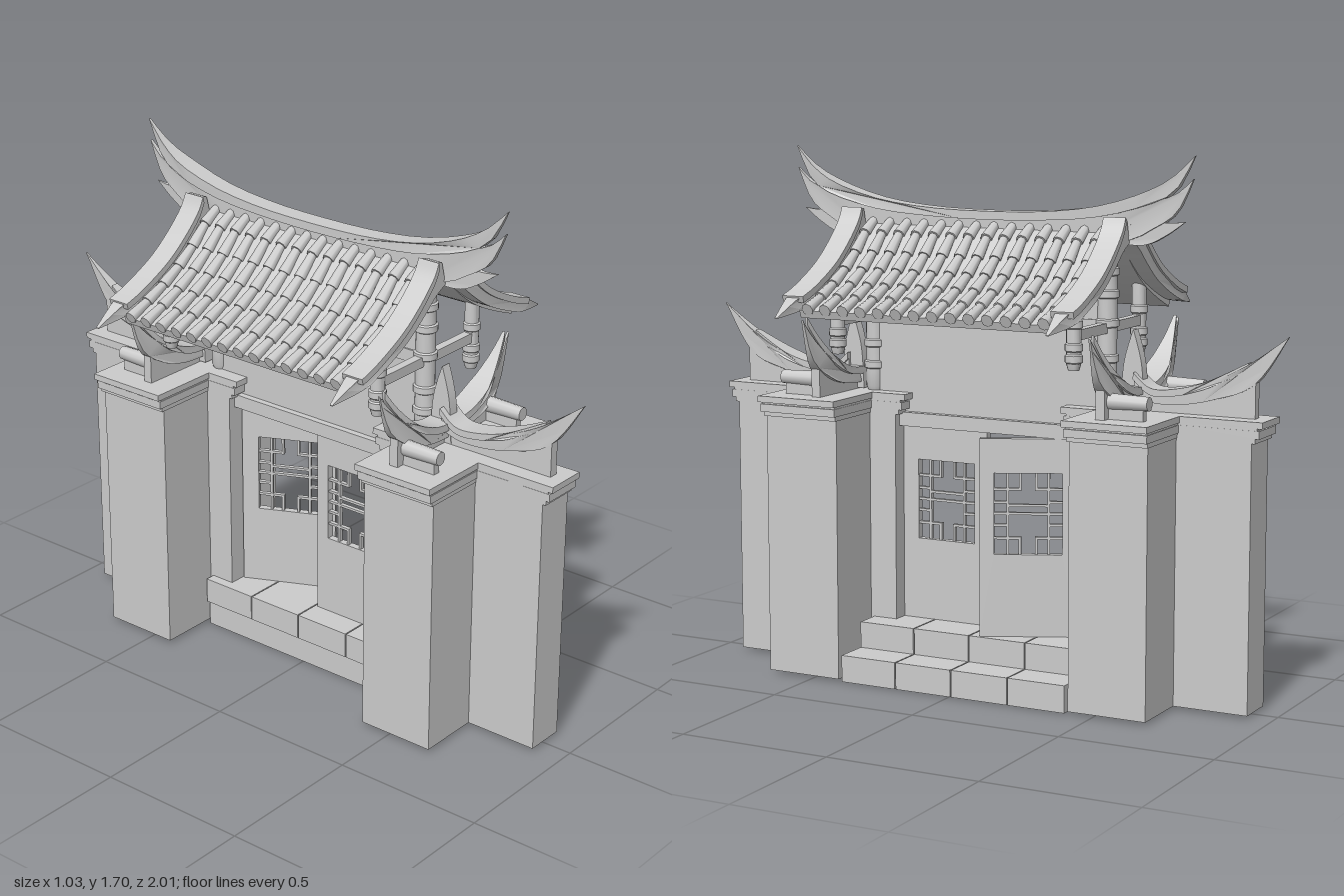
import * as THREE from 'three';
import { mergeGeometries, toCreasedNormals } from 'three/addons/utils/BufferGeometryUtils.js';

const material = new THREE.MeshStandardMaterial({ color: 0xcccccc, side: THREE.DoubleSide });
const v2 = ([x, y]) => new THREE.Vector2(x, y);

function add(parent, name, geometry, x = 0, y = 0, z = 0) {
  const mesh = new THREE.Mesh(geometry, material);
  mesh.name = name;
  mesh.position.set(x, y, z);
  parent.add(mesh);
  return mesh;
}

const box = (parent, name, x0, x1, y0, y1, z0, z1) => add(parent, name,
  new THREE.BoxGeometry(x1 - x0, y1 - y0, z1 - z0), (x0 + x1) / 2, (y0 + y1) / 2, (z0 + z1) / 2);

// Flat curved blade in the XY plane between an upper and a lower spline,
// with its thickness pinched by a rule along x
function blade(upper, lower, thickness, pinch = () => 1) {
  const line = p => new THREE.SplineCurve(p.map(v2)).getPoints(24);
  const shape = new THREE.Shape([...line(upper), ...line(lower).reverse()]);
  const g = new THREE.ExtrudeGeometry(shape, { depth: thickness, bevelEnabled: false });
  g.translate(0, 0, -thickness / 2);
  const p = g.attributes.position;
  for (let i = 0; i < p.count; i++) p.setZ(i, p.getZ(i) * pinch(p.getX(i)));
  return toCreasedNormals(g, 0.6);
}
const alongZ = g => g.rotateY(-Math.PI / 2);
const mirrored = pts => [...pts.slice(1).reverse().map(([x, y]) => [-x, y]), ...pts];
const taper = (start, end) => x => THREE.MathUtils.clamp((end - Math.abs(x)) / (end - start), 0.12, 1);

// Cross-shaped plan; grow lengthens the ends of all four arms
function crossPrism(grow, y0, y1) {
  const a = 0.066 + grow * 0.1, w = 0.275 + grow, o = 0.915 + grow, i = 0.315 - grow;
  const half = [[a, o], [a, 0.67 + grow * 0.3], [w, 0.67 + grow * 0.3],
    [w, 0.41 - grow * 0.3], [a, 0.41 - grow * 0.3], [a, i]];
  const outline = [...half, ...half.map(([x, z]) => [-x, z]).reverse()];
  const g = new THREE.ExtrudeGeometry(new THREE.Shape(outline.map(v2)), { depth: y1 - y0, bevelEnabled: false });
  return g.rotateX(Math.PI / 2).translate(0, y1, 0);
}

// One gate pier with its capstones and curved finial ridges, on the +z side
function makePier() {
  const pier = new THREE.Group();
  pier.name = 'gatePier';
  add(pier, 'pierBody', crossPrism(0, 0.01, 0.87));
  [[0.012, 0.85, 0.865], [0.025, 0.865, 0.89], [0.018, 0.89, 0.897], [0.036, 0.897, 0.917]]
    .forEach(([g, y0, y1]) => add(pier, 'pierCapLayer', crossPrism(g, y0, y1)));

  // Crescent ridge running across the pier
  const top = mirrored([[0, 0.985], [0.09, 0.99], [0.19, 1.03], [0.27, 1.1], [0.325, 1.17]]);
  const bottom = mirrored([[0, 0.94], [0.1, 0.945], [0.2, 0.975], [0.28, 1.04], [0.325, 1.17]]);
  const under = mirrored([[0, 0.955], [0.1, 0.96], [0.2, 0.99], [0.25, 1.03]]);
  add(pier, 'crossRidge', blade(top, bottom, 0.06, taper(0.2, 0.33)), 0, 0, 0.5);
  add(pier, 'crossRidgeCrest', blade(top.map(([x, y]) => [x * 0.93, y + 0.008]),
    top.map(([x, y]) => [x * 0.93, y - 0.016]), 0.08, taper(0.17, 0.32)), 0, 0, 0.5);
  add(pier, 'crossRidgeWall', blade(under, [[-0.25, 0.91], [0.25, 0.91]], 0.03), 0, 0, 0.5);

  // Swept ridge running outward to a raised tip
  const outer = [[0.51, 1.03], [0.57, 0.985], [0.66, 0.99], [0.76, 1.02], [0.88, 1.08], [1.005, 1.17]];
  const lower = [[0.51, 0.965], [0.57, 0.945], [0.66, 0.945], [0.77, 0.967], [0.9, 1.02], [1.005, 1.17]];
  add(pier, 'outerRidge', alongZ(blade(outer, lower, 0.055, taper(0.82, 1.01))));
  add(pier, 'outerRidgeCrest', alongZ(blade(outer.slice(0, 5).map(([x, y]) => [x, y + 0.006]),
    outer.slice(0, 5).map(([x, y]) => [x, y - 0.016]), 0.075, taper(0.75, 0.95))));
  add(pier, 'outerRidgeWall', alongZ(blade([[0.51, 0.95], [0.66, 0.965], [0.8, 0.99], [0.905, 1.035]],
    [[0.51, 0.91], [0.905, 0.91]], 0.03)));
  // Upright fin where the two ridges meet
  add(pier, 'junctionFin', alongZ(blade([[0.46, 0.92], [0.47, 1.06], [0.5, 1.165]],
    [[0.54, 0.92], [0.53, 1.06], [0.502, 1.165]], 0.035)));

  // Small tile rolls lying on the shoulders
  for (const s of [-1, 1]) {
    box(pier, 'tileRollFoot', s * 0.21 - 0.012, s * 0.21 + 0.012, 0.91, 0.96, 0.51, 0.63);
    add(pier, 'tileRoll', new THREE.CylinderGeometry(0.022, 0.026, 0.14, 10).rotateX(Math.PI / 2), s * 0.21, 0.97, 0.575);
  }
  return pier;
}

// Door leaf hinged at its local origin, reaching toward +z
function makeDoor(width) {
  const door = new THREE.Group();
  door.name = 'doorLeaf';
  const [z0, z1, y0, y1] = [0.055, width - 0.045, 0.44, 0.7];
  const shape = new THREE.Shape([[0, 0.175], [width, 0.175], [width, 0.81], [0, 0.81]].map(v2));
  shape.holes.push(new THREE.Path([[z0, y0], [z0, y1], [z1, y1], [z1, y0]].map(v2)));
  add(door, 'doorPanel', alongZ(new THREE.ExtrudeGeometry(shape, { depth: 0.024, bevelEnabled: false }).translate(0, 0, -0.012)));
  // Fretwork: bars given as fractions of the window [u0, v0, u1, v1]
  const bars = [];
  const half = [[0, 0.2, 0.38, 0.2], [0.2, 0, 0.2, 0.2], [0.38, 0, 0.38, 0.2], [0.2, 0.2, 0.2, 0.36], [0, 0.36, 0.2, 0.36]];
  for (const [a, b, c, d] of half) {
    bars.push([a, b, c, d], [1 - c, b, 1 - a, d], [a, 1 - d, c, 1 - b], [1 - c, 1 - d, 1 - a, 1 - b]);
  }
  bars.push([0, 0.5, 1, 0.5], [0.2, 0.36, 0.2, 0.64], [0.8, 0.36, 0.8, 0.64], [0.2, 0.6, 0.8, 0.6]);
  const t = 0.004, W = z1 - z0, H = y1 - y0;
  for (const [a, b, c, d] of bars) {
    box(door, 'latticeBar', -0.007, 0.007, y0 + b * H - t, y0 + d * H + t, z0 + a * W - t, z0 + c * W + t);
  }
  return door;
}

// Turned post with ring collars
function makePost(y0, y1, r, rings) {
  const profile = [[0.001, y0], [r * 0.75, y0], [r, y0 + 0.02]];
  for (const y of rings) profile.push([r, y - 0.014], [r * 1.2, y - 0.01], [r * 1.2, y + 0.01], [r, y + 0.014]);
  profile.push([r, y1], [0.001, y1]);
  return toCreasedNormals(new THREE.LatheGeometry(profile.map(v2), 16), 0.6);
}

function makeRoof() {
  const roof = new THREE.Group();
  roof.name = 'roof';
  const slope = [[0.0, 1.47], [0.06, 1.435], [0.13, 1.37], [0.22, 1.305], [0.32, 1.255], [0.42, 1.215]];
  const curve = new THREE.SplineCurve(slope.map(v2));

  // Barrel tiles, six overlapping per row
  const tiles = [];
  for (let row = 0; row < 14; row++) {
    for (let k = 0; k < 6; k++) {
      const a = curve.getPointAt(k / 6), b = curve.getPointAt((k + 1) / 6);
      const length = a.distanceTo(b) + 0.012;
      const g = new THREE.CylinderGeometry(0.014, 0.02, length, 8);
      g.rotateZ(Math.atan2(b.y - a.y, b.x - a.x) + Math.PI / 2);
      g.translate((a.x + b.x) / 2, (a.y + b.y) / 2 + 0.006, (row - 6.5) * 0.0628);
      tiles.push(g);
    }
  }
  const tileGeometry = mergeGeometries(tiles);
  const deck = blade(slope, slope.map(([x, y]) => [x * 0.98, y - 0.024]), 0.88);

  // Gable ridges sweep past the eaves to flat points and hook at the top
  const rakeTop = [[0.035, 1.505], [0.06, 1.505], [0.085, 1.46], [0.15, 1.395], [0.23, 1.335], [0.34, 1.28], [0.42, 1.252], [0.515, 1.2]];
  const rakeLow = [[0.015, 1.43], [0.06, 1.405], [0.12, 1.355], [0.2, 1.298], [0.3, 1.25], [0.4, 1.215], [0.515, 1.197]];
  const rake = blade(rakeTop, rakeLow, 0.06, taper(0.38, 0.54));
  const rakeCap = blade(rakeTop.slice(1, 7).map(([x, y]) => [x, y + 0.006]),
    rakeTop.slice(1, 7).map(([x, y]) => [x - 0.006, y - 0.014]), 0.075);
  for (const turn of [0, Math.PI]) {
    const side = new THREE.Group();
    side.name = 'roofSlope';
    side.rotation.y = turn;
    add(side, 'roofDeck', deck);
    add(side, 'barrelTiles', tileGeometry);
    for (const z of [-0.465, 0.465]) {
      add(side, 'gableRidge', rake, 0, 0, z);
      add(side, 'gableRidgeCap', rakeCap, 0, 0, z);
    }
    roof.add(side);
  }

  // Main ridge: broad body, crest moulding and forked upturned ends
  const crest = mirrored([[0, 1.512], [0.2, 1.517], [0.38, 1.538], [0.53, 1.58], [0.63, 1.63], [0.705, 1.7]]);
  const crestLow = mirrored([[0, 1.485], [0.2, 1.49], [0.38, 1.505], [0.53, 1.54], [0.64, 1.59], [0.705, 1.7]]);
  const body = mirrored([[0, 1.495], [0.2, 1.5], [0.38, 1.515], [0.53, 1.55], [0.64, 1.58], [0.7, 1.63]]);
  const bodyLow = mirrored([[0, 1.43], [0.3, 1.43], [0.48, 1.435], [0.58, 1.48], [0.65, 1.53], [0.7, 1.63]]);
  add(roof, 'ridgeCrest', alongZ(blade(crest, crestLow, 0.065, taper(0.55, 0.72))));
  add(roof, 'ridgeBody', alongZ(blade(body, bodyLow, 0.045, taper(0.55, 0.74))));
  const prong = blade([[0.44, 1.46], [0.54, 1.5], [0.62, 1.495], [0.675, 1.5]],
    [[0.44, 1.43], [0.54, 1.425], [0.61, 1.455], [0.675, 1.5]], 0.035, taper(0.5, 0.7));
  for (const turn of [0, Math.PI]) add(roof, 'ridgeProng', alongZ(prong.clone())).rotation.y = turn;
  return roof;
}

export function createModel() {
  const gate = new THREE.Group();
  gate.name = 'gate';
  const base = new THREE.Group();
  base.name = 'base';
  base.position.z = -0.01;
  gate.add(base, makeRoof());

  for (const turn of [0, Math.PI]) {
    const pier = makePier();
    pier.rotation.y = turn;
    base.add(pier);
  }

  // Threshold and two rows of step stones
  box(base, 'threshold', -0.085, 0.066, 0, 0.165, -0.4, 0.4);
  for (let i = 0; i < 4; i++) {
    const z = -0.4 + i * 0.2;
    box(base, 'upperStep', -0.1, 0.155, 0.09, 0.175, z + 0.002, z + 0.198);
    box(base, 'lowerStep', 0.15, 0.275, 0.003, 0.09, z + 0.002, z + 0.198);
  }

  // Wall over the doorway, with lintel and tie beam
  box(base, 'upperWall', -0.018, 0.018, 0.84, 1.43, -0.4, 0.4);
  box(base, 'lintel', -0.04, 0.04, 0.81, 0.855, -0.316, 0.316);
  box(base, 'tieBeam', -0.024, 0.024, 1.15, 1.19, -0.4, 0.4);

  // One closed leaf and one standing ajar
  const closed = makeDoor(0.305);
  closed.position.z = 0.315;
  closed.rotation.y = Math.PI;
  const ajar = makeDoor(0.315);
  ajar.position.z = -0.315;
  ajar.rotation.y = 0.44;
  base.add(closed, ajar);

  // Gable frames: king post, cross beam and hanging posts
  for (const z of [-0.415, 0.415]) {
    add(gate, 'kingPost', makePost(0.91, 1.46, 0.031, [1.0, 1.07, 1.18, 1.27, 1.34]), 0, 0, z);
    box(gate, 'crossBeam', -0.235, 0.235, 1.15, 1.182, z - 0.014, z + 0.014);
    for (const x of [-0.235, 0.235]) {
      add(gate, 'hangingPost', makePost(1.06, 1.285, 0.023, [1.095, 1.13, 1.2]), x, 0, z);
    }
  }
  return gate;
}
